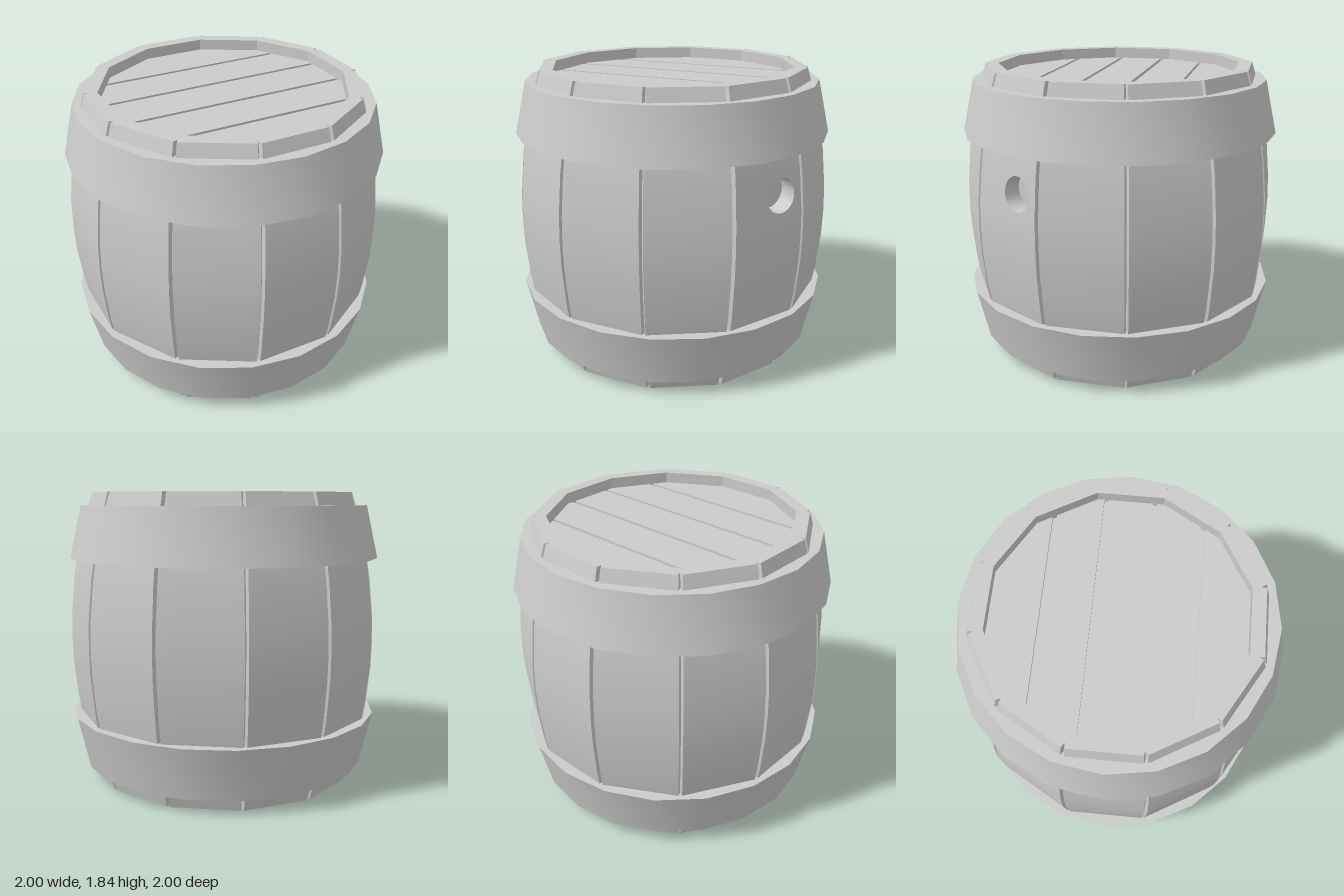
import * as THREE from 'three';
import { toCreasedNormals } from 'three/addons/utils/BufferGeometryUtils.js';

const H = 1.84, T15 = Math.tan(Math.PI / 12), INNER = 0.74, RECESS = 0.07;
const CREASE = 0.5;
const grey = new THREE.MeshStandardMaterial({ color: 0xcccccc });
const hoopGrey = new THREE.MeshStandardMaterial({ color: 0xcccccc, side: THREE.DoubleSide });

// Barrel profile: distance from the axis to the flat face of a stave
const bulge = (y) => 0.97 - 0.148 * ((y - H / 2) / (H / 2)) ** 2;
const ROWS = [0, 0.12, 0.26, 0.4, 0.52, 0.76, 0.92, 1.08, 1.32, 1.44, 1.58, 1.72, H];
const HOLE = { row: 7, x: 0.087, y: 1.2, r: 0.105, floor: 0.85, sides: 24 };

function mesh(name, geometry, material = grey) {
  const m = new THREE.Mesh(geometry, material);
  m.name = name;
  return m;
}

// Cross-section of one stave: groove, corner, corner, groove
function section(y) {
  const R = bulge(y), half = R * T15 - 0.012, groove = (R - 0.03) * T15;
  return [[-groove, R - 0.03], [-half, R], [half, R], [groove, R - 0.03]]
    .map(([x, z]) => new THREE.Vector3(x, y, z));
}

function staveGeometry(withHole) {
  const pos = [];
  const tri = (...v) => v.forEach((p) => pos.push(p.x, p.y, p.z));
  const quad = (a, b, c, d) => { tri(a, b, c); tri(a, c, d); };
  const V = (x, y, z) => new THREE.Vector3(x, y, z);

  // Outer face and groove walls, row by row
  for (let j = 0; j < ROWS.length - 1; j++) {
    const lo = section(ROWS[j]), hi = section(ROWS[j + 1]);
    for (let i = 0; i < 3; i++) {
      if (withHole && j === HOLE.row && i === 1) pierced(lo, hi);
      else quad(lo[i], lo[i + 1], hi[i + 1], hi[i]);
    }
  }

  // Flat panel with the bung hole, its wall and floor
  function pierced(lo, hi) {
    const y0 = lo[1].y, y1 = hi[1].y;
    const depth = (y) => THREE.MathUtils.mapLinear(y, y0, y1, lo[1].z, hi[1].z);
    const ring = Array.from({ length: HOLE.sides }, (_, k) => {
      const a = (k / HOLE.sides) * Math.PI * 2;
      return new THREE.Vector2(HOLE.x + HOLE.r * Math.cos(a), HOLE.y + HOLE.r * Math.sin(a));
    });
    const shape = new THREE.Shape([lo[1], lo[2], hi[2], hi[1]].map((p) => new THREE.Vector2(p.x, p.y)));
    shape.holes.push(new THREE.Path(ring));
    const flat = new THREE.ShapeGeometry(shape).toNonIndexed().attributes.position;
    for (let k = 0; k < flat.count; k++) pos.push(flat.getX(k), flat.getY(k), depth(flat.getY(k)));
    const centre = V(HOLE.x, HOLE.y, HOLE.floor);
    ring.forEach((p, k) => {
      const q = ring[(k + 1) % ring.length];
      const pb = V(p.x, p.y, HOLE.floor), qb = V(q.x, q.y, HOLE.floor);
      quad(V(p.x, p.y, depth(p.y)), V(q.x, q.y, depth(q.y)), qb, pb);
      tri(centre, pb, qb);
    });
  }

  // End grain at both rims and the inner wall down to the heads
  const w = INNER * T15;
  for (const top of [true, false]) {
    const y = top ? H : 0;
    const rim = [...section(y), V(w, y, INNER)], corner = V(-w, y, INNER);
    for (let i = 0; i < 4; i++) {
      if (top) tri(corner, rim[i], rim[i + 1]);
      else tri(corner, rim[i + 1], rim[i]);
    }
    const a = top ? H - RECESS - 0.06 : 0, b = top ? H : RECESS + 0.06;
    quad(V(w, a, INNER), V(-w, a, INNER), V(-w, b, INNER), V(w, b, INNER));
  }

  const g = new THREE.BufferGeometry();
  g.setAttribute('position', new THREE.Float32BufferAttribute(pos, 3));
  return toCreasedNormals(g, CREASE);
}

// Tapered iron band, wide radius at yWide and narrow radius at yNarrow
function hoop(name, yWide, yNarrow) {
  let profile = [[0.88, yWide], [1, yWide], [0.925, yNarrow], [0.81, yNarrow], [0.88, yWide]];
  if (yWide > yNarrow) profile = profile.reverse();
  const g = new THREE.LatheGeometry(profile.map(([r, y]) => new THREE.Vector2(r, y)), 20);
  return mesh(name, toCreasedNormals(g, CREASE), hoopGrey);
}

// Twelve-sided head made of five planks over a backing disc
function head(name) {
  const group = new THREE.Group();
  group.name = name;
  const halfWidth = (z) => Math.min(...[-60, -30, 0, 30, 60].map((d) => {
    const a = THREE.MathUtils.degToRad(d);
    return (INNER - z * Math.sin(a)) / Math.cos(a);
  }));
  const R = INNER / Math.cos(Math.PI / 12);
  const corners = [-45, -15, 15, 45].map((d) => R * Math.sin(THREE.MathUtils.degToRad(d)));
  const pitch = 0.295, gap = 0.012;
  for (let i = -2; i <= 2; i++) {
    const z0 = i === -2 ? -INNER : (i - 0.5) * pitch + gap;
    const z1 = i === 2 ? INNER : (i + 0.5) * pitch - gap;
    const zs = [z0, ...corners.filter((z) => z > z0 && z < z1), z1];
    const right = zs.map((z) => new THREE.Vector2(halfWidth(z), z));
    const left = zs.map((z) => new THREE.Vector2(-halfWidth(z), z)).reverse();
    const g = new THREE.ExtrudeGeometry(new THREE.Shape([...right, ...left]), { depth: 0.03, bevelEnabled: false });
    g.rotateX(-Math.PI / 2).translate(0, -0.03, 0);
    group.add(mesh('headPlank', g));
  }
  const disc = new THREE.CylinderGeometry(R, R, 0.04, 12, 1, false, Math.PI / 12);
  disc.translate(0, -0.04, 0);
  group.add(mesh('headBacking', disc));
  return group;
}

export function createModel() {
  const barrel = new THREE.Group();
  barrel.name = 'barrel';

  // Twelve staves, one of them with the bung hole
  const plain = staveGeometry(false), holed = staveGeometry(true);
  for (let k = 0; k < 12; k++) {
    const stave = mesh(k === 2 ? 'bungStave' : 'stave', k === 2 ? holed : plain);
    stave.rotation.y = (k * Math.PI) / 6;
    barrel.add(stave);
  }

  barrel.add(hoop('topHoop', 1.43, 1.76), hoop('bottomHoop', 0.42, 0.09));

  // Recessed heads, the lower one turned over
  const lid = head('topHead');
  lid.position.y = H - RECESS;
  const base = head('bottomHead');
  base.position.y = RECESS;
  base.rotation.z = Math.PI;
  barrel.add(lid, base);
  return barrel;
}
